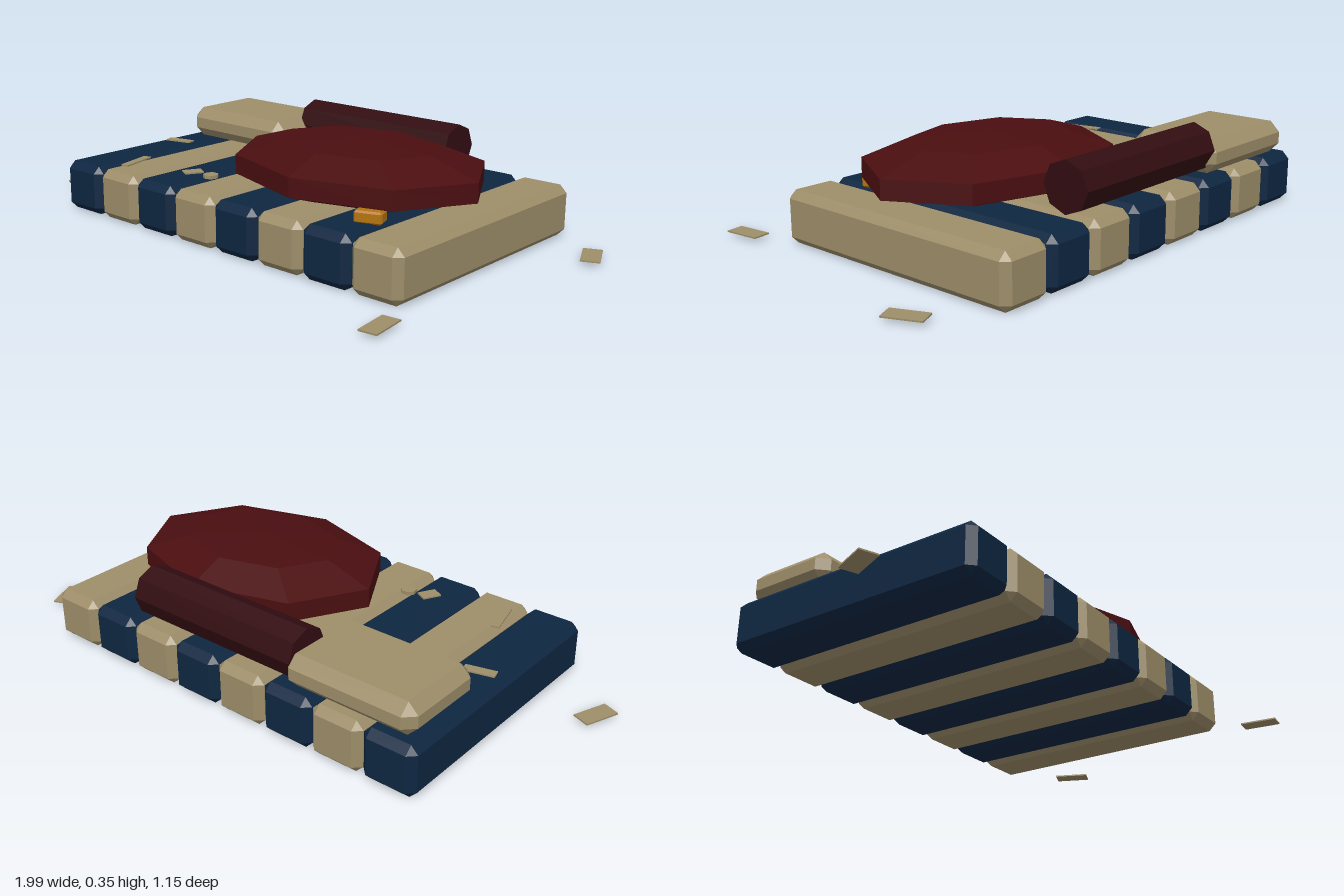
import * as THREE from 'three';
import { ConvexGeometry } from 'three/addons/geometries/ConvexGeometry.js';

const mat = (name, color) => new THREE.MeshStandardMaterial({ name, color, flatShading: true });

// Box with every edge and corner cut flat
function chamferBox(w, h, d, c) {
  const points = [];
  for (const x of [-1, 1]) for (const y of [-1, 1]) for (const z of [-1, 1]) {
    for (let k = 0; k < 3; k++) {
      points.push(new THREE.Vector3(
        x * (w / 2 - (k === 0 ? 0 : c)),
        y * (h / 2 - (k === 1 ? 0 : c)),
        z * (d / 2 - (k === 2 ? 0 : c))));
    }
  }
  return new ConvexGeometry(points);
}

export function createModel() {
  const group = new THREE.Group();
  const tan = mat('tan cloth', 0x9d8d69);
  const navy = mat('navy cloth', 0x0e2641);
  const red = mat('dark red cloth', 0x4a0e10);
  const maroon = mat('maroon cloth', 0x320d11);
  const amber = mat('amber', 0xb4740e);

  function add(name, geometry, material, x, y, z, turn = 0) {
    const mesh = new THREE.Mesh(geometry, material);
    mesh.name = name;
    mesh.position.set(x, y, z);
    mesh.rotation.y = turn;
    group.add(mesh);
    return mesh;
  }

  // Mattress of eight padded strips in alternating colours
  const strip = chamferBox(0.186, 0.175, 0.94, 0.025);
  for (let i = 0; i < 8; i++) {
    add('mattressStrip', strip, i % 2 ? tan : navy, -0.661 + i * 0.1885, 0.0875, -0.108);
  }

  // Pillow
  add('pillow', chamferBox(0.473, 0.11, 0.325, 0.035), tan, -0.491, 0.23, -0.393);

  // Rolled blanket, lying along x
  const roll = add('blanketRoll', new THREE.CylinderGeometry(0.084, 0.084, 0.66, 8), maroon, 0.045, 0.257, -0.466);
  roll.rotation.z = Math.PI / 2;

  // Eight-sided oval cushion
  const profile = [[0, 0.165], [0.62, 0.172], [1, 0.215], [1, 0.28], [0.63, 0.332], [0, 0.35]]
    .map(([r, y]) => new THREE.Vector2(r, y));
  const cushion = new THREE.LatheGeometry(profile, 8);
  cushion.scale(0.463, 1, 0.34);
  add('cushion', cushion, red, 0.262, 0, -0.06);

  // Small block tucked under the cushion
  add('block', chamferBox(0.09, 0.04, 0.058, 0.006), amber, 0.517, 0.192, 0.197, 0.35);

  // Loose scraps: x, y, z, width, length, turn
  const scraps = [
    [-0.945, 0.015, 0.127, 0.062, 0.124, -0.37],
    [0.938, 0.015, -0.393, 0.062, 0.124, 0.42],
    [0.798, 0.015, 0.505, 0.06, 0.126, 0.12],
    [-0.668, 0.18, -0.117, 0.103, 0.034, 0.25],
    [-0.54, 0.18, 0.21, 0.03, 0.14, 0.25],
    [-0.27, 0.185, 0.185, 0.046, 0.066, -0.5],
    [-0.115, 0.186, -0.39, 0.09, 0.05, -0.2],
  ];
  for (const [x, y, z, w, l, turn] of scraps) {
    add('scrap', new THREE.BoxGeometry(w, 0.005, l), tan, x, y, z, turn);
  }
  add('roundScrap', new THREE.CylinderGeometry(0.027, 0.027, 0.012, 7), tan, -0.195, 0.181, 0.172);

  return group;
}
